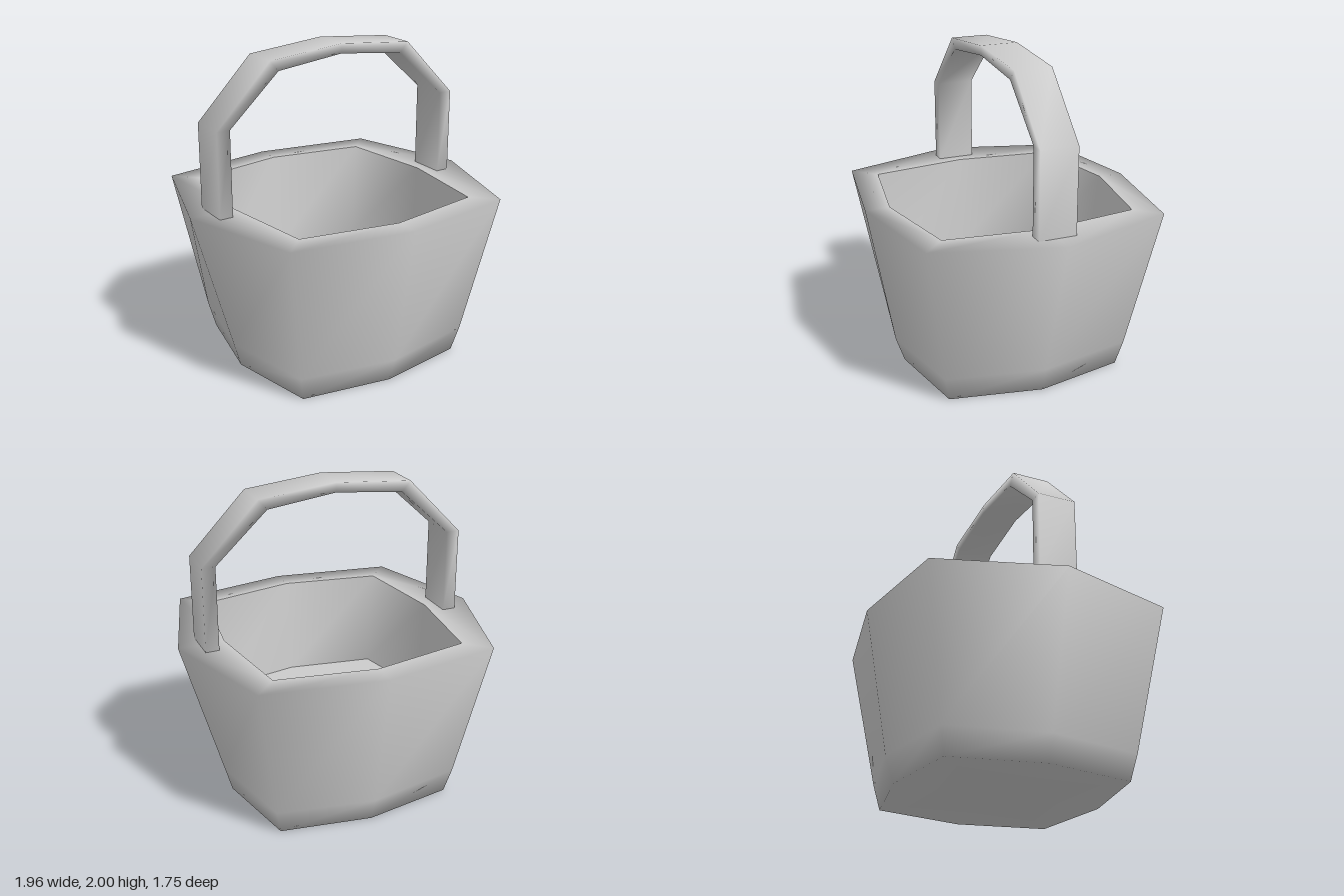
import * as THREE from 'three';

const material = new THREE.MeshStandardMaterial({ color: 0xcccccc });

// Skin a sequence of equal-length closed rings with shared (smooth) vertices.
function loft(name, rings) {
  const n = rings[0].length;
  const index = [];
  for (let r = 0; r < rings.length - 1; r++) {
    for (let i = 0; i < n; i++) {
      const a = r * n + i, b = r * n + (i + 1) % n;
      index.push(a, a + n, b, b, a + n, b + n);
    }
  }
  const geometry = new THREE.BufferGeometry();
  geometry.setAttribute('position', new THREE.Float32BufferAttribute(rings.flat(2), 3));
  geometry.setIndex(index);
  geometry.computeVertexNormals();
  const mesh = new THREE.Mesh(geometry, material);
  mesh.name = name;
  return mesh;
}

// Eight-point ring: side points at x, corners at c, front and back points at z.
const ring = (y, x, c, z) => [
  [x, y, 0], [c, y, c], [0, y, z], [-c, y, c],
  [-x, y, 0], [-c, y, -c], [0, y, -z], [c, y, -c],
];

export function createModel() {
  const group = new THREE.Group();
  group.name = 'bucket';

  const rimInner = ring(1.06, 0.69, 0.61, 0.72);
  const floorEdge = ring(0.45, 0.665, 0.55, 0.645);

  // Outer body: underside, chamfered foot, flared wall and flat rim
  group.add(loft('outerBody', [
    ring(0, 0, 0, 0),
    ring(0, 0.68, 0.565, 0.66),
    ring(0.16, 0.725, 0.6, 0.715),
    ring(1.06, 0.98, 0.75, 0.875),
    rimInner,
  ]));

  // Inside wall and raised floor
  group.add(loft('innerWall', [rimInner, floorEdge]));
  group.add(loft('innerFloor', [floorEdge, ring(0.45, 0, 0, 0)]));

  // Arched handle: outer x, outer y, inner x, inner y from rim to crown
  const half = [
    [0.845, 1.06, 0.76, 1.06],
    [0.845, 1.59, 0.76, 1.59],
    [0.49, 1.955, 0.435, 1.89],
  ];
  const mirrored = half.map(([ox, oy, ix, iy]) => [-ox, oy, -ix, iy]).reverse();
  const w = 0.118;
  const sections = [...half, [0, 2, 0, 1.94], ...mirrored].map(([ox, oy, ix, iy]) => [
    [ox, oy, -w], [ox, oy, w], [ix, iy, w], [ix, iy, -w],
  ]);
  group.add(loft('handle', sections));

  return group;
}
